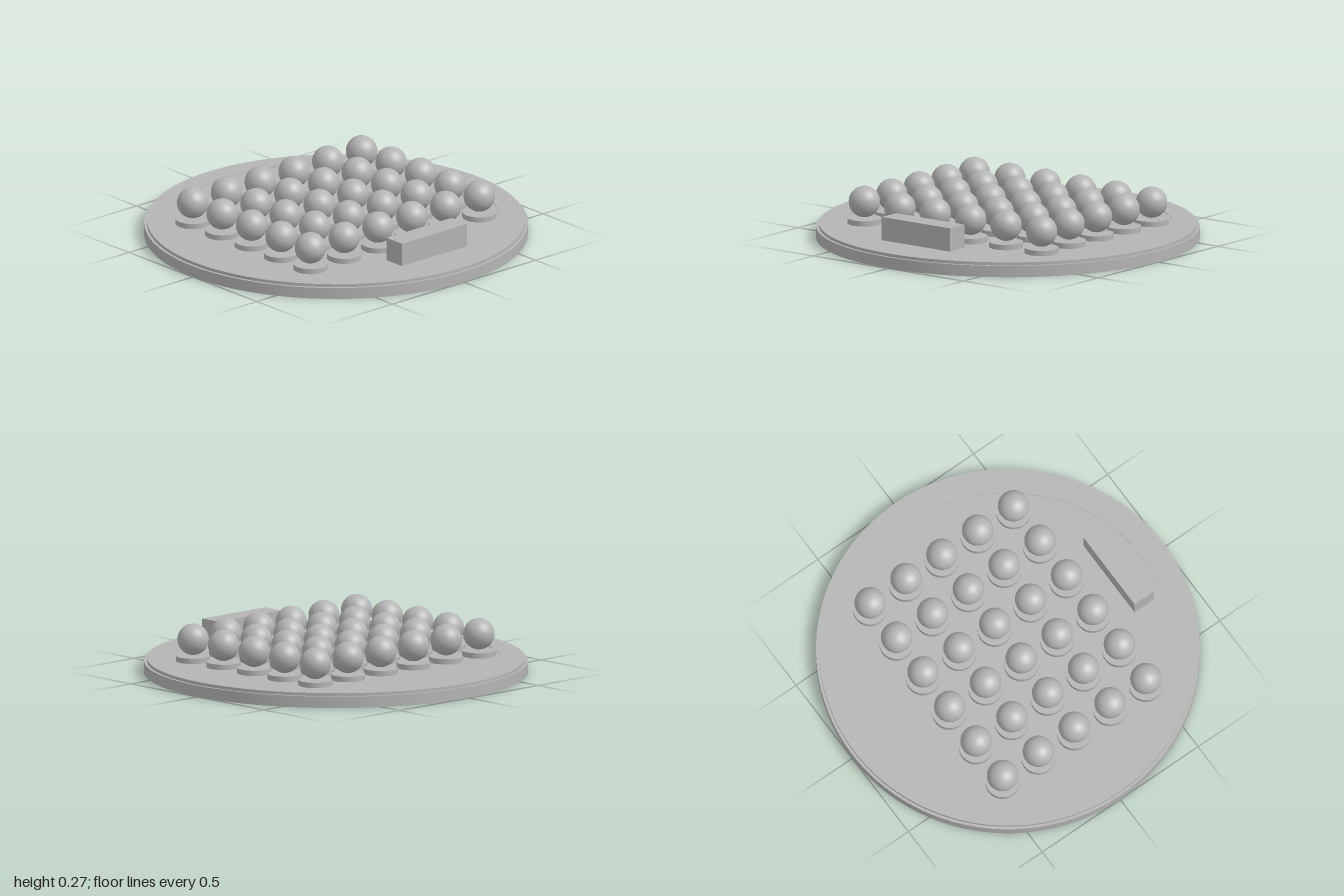
import * as THREE from 'three';

export function createModel() {
  const model = new THREE.Group();
  model.name = 'marbleBoard';
  const grey = new THREE.MeshStandardMaterial({ color: 0xb4b4b4 });
  grey.name = 'plain grey';

  const add = (name, geometry, x, y, z, parent = model) => {
    const mesh = new THREE.Mesh(geometry, grey);
    mesh.name = name;
    mesh.position.set(x, y, z);
    parent.add(mesh);
    return mesh;
  };

  // Round board: wide base, and a raised rim around a shallow field
  add('base', new THREE.CylinderGeometry(1, 1, 0.06, 96), 0, 0.03, 0);
  add('field', new THREE.CylinderGeometry(0.87, 0.87, 0.014, 96), 0, 0.066, 0);
  const rim = new THREE.Shape().absarc(0, 0, 0.985, 0, Math.PI * 2);
  rim.holes.push(new THREE.Path().absarc(0, 0, 0.86, 0, Math.PI * 2, true));
  const rimGeometry = new THREE.ExtrudeGeometry(rim, { depth: 0.017, bevelEnabled: false, curveSegments: 96 });
  rimGeometry.rotateX(-Math.PI / 2);
  add('rim', rimGeometry, 0, 0.059, 0);

  // Grid of balls, each above a low round seat
  const seat = new THREE.CylinderGeometry(0.089, 0.089, 0.03, 40);
  const ball = new THREE.SphereGeometry(0.082, 32, 24);
  for (let row = 0; row < 5; row++) {
    for (let column = 0; column < 6; column++) {
      const piece = new THREE.Group();
      piece.name = `piece${row * 6 + column + 1}`;
      piece.position.set((column - 2.5) * 0.236, 0, (row - 2) * 0.23);
      add('seat', seat, 0, 0.086, 0, piece);
      add('ball', ball, 0, 0.188, 0, piece);
      model.add(piece);
    }
  }

  // Block at the front edge
  add('frontBlock', new THREE.BoxGeometry(0.455, 0.124, 0.122), 0, 0.144, 0.71);

  return model;
}
